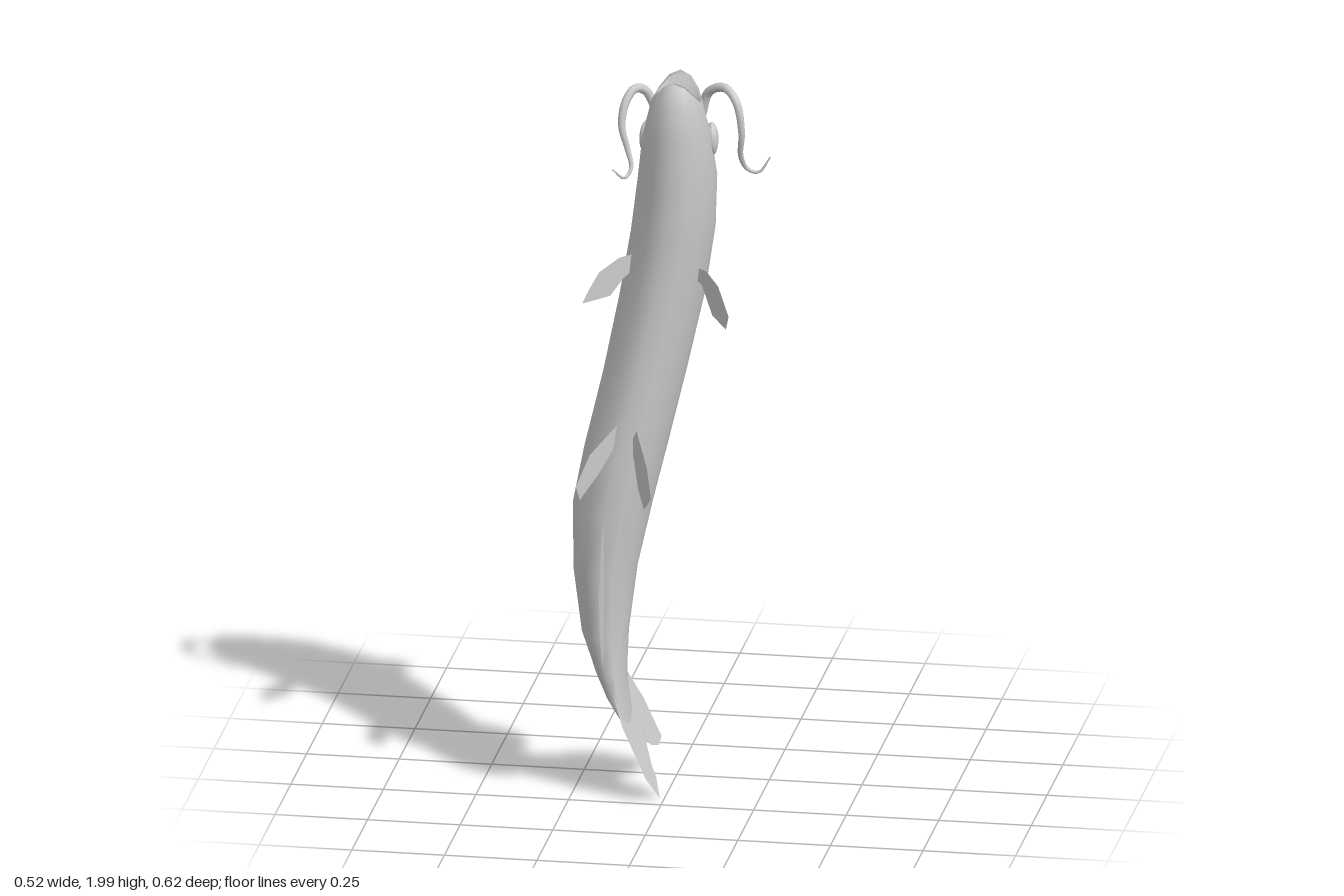
import * as THREE from 'three';

const skin = new THREE.MeshStandardMaterial({ color: 0xcccccc });
const thin = new THREE.MeshStandardMaterial({ color: 0xcccccc, side: THREE.DoubleSide });

function part(name, geometry, material = skin) {
  const mesh = new THREE.Mesh(geometry, material);
  mesh.name = name;
  return mesh;
}

// Lofted body: each ring is [y, xMin, xMax, zMin, zMax, lipRise]
function makeBody() {
  const rings = [
    [1.84, -0.01, 0.04, 0.07, 0.1, 0],
    [1.93, -0.048, 0.078, 0.042, 0.122, 0.06],
    [1.925, -0.055, 0.081, 0.015, 0.14, 0.068],
    [1.885, -0.065, 0.088, -0.018, 0.168, 0.05],
    [1.83, -0.08, 0.1, -0.055, 0.178, 0.01],
    [1.7, -0.097, 0.112, -0.115, 0.181, 0],
    [1.55, -0.117, 0.105, -0.142, 0.181, 0],
    [1.36, -0.15, 0.075, -0.172, 0.187, 0],
    [1.15, -0.19, 0.03, -0.143, 0.207, 0],
    [0.95, -0.235, -0.015, -0.1, 0.229, 0],
    [0.8, -0.262, -0.05, -0.065, 0.241, 0],
    [0.62, -0.257, -0.088, -0.005, 0.238, 0],
    [0.45, -0.23, -0.106, 0.06, 0.232, 0],
    [0.35, -0.195, -0.11, 0.07, 0.23, 0],
    [0.27, -0.16, -0.108, 0.06, 0.225, 0],
    [0.18, -0.101, -0.097, 0.08, 0.2, 0],
  ];
  const sides = 14, pos = [], idx = [];
  rings.forEach(([y, x0, x1, z0, z1, rise], r) => {
    for (let i = 0; i < sides; i++) {
      const a = (i / sides) * Math.PI * 2, s = Math.sin(a), c = Math.cos(a);
      pos.push((x0 + x1) / 2 + s * (x1 - x0) / 2, y + rise * c * c, (z0 + z1) / 2 + c * (z1 - z0) / 2);
      if (r === 0) continue;
      const j = (i + 1) % sides, up = (r - 1) * sides, lo = r * sides;
      idx.push(up + i, lo + i, up + j, up + j, lo + i, lo + j);
    }
  });
  // floor of the mouth
  for (let i = 1; i < sides - 1; i++) idx.push(0, i, i + 1);
  const g = new THREE.BufferGeometry();
  g.setAttribute('position', new THREE.Float32BufferAttribute(pos, 3));
  g.setIndex(idx);
  g.computeVertexNormals();
  return g;
}

// Flat outline placed in space by a rule (u, v) -> [x, y, z]
function fin(name, outline, place) {
  const g = new THREE.ShapeGeometry(new THREE.Shape(outline.map(([u, v]) => new THREE.Vector2(u, v))));
  const p = g.attributes.position;
  for (let i = 0; i < p.count; i++) p.setXYZ(i, ...place(p.getX(i), p.getY(i)));
  g.computeVertexNormals();
  return part(name, g, thin);
}

// Whisker: a tube narrowed towards its tip
function barbel(name, points) {
  const curve = new THREE.CatmullRomCurve3(points.map((p) => new THREE.Vector3(...p)));
  const segments = 32, sides = 8;
  const g = new THREE.TubeGeometry(curve, segments, 0.013, sides);
  const p = g.attributes.position, v = new THREE.Vector3();
  for (let i = 0; i < p.count; i++) {
    const t = Math.floor(i / (sides + 1)) / segments;
    const c = curve.getPointAt(t);
    v.fromBufferAttribute(p, i).sub(c).multiplyScalar(1 - 0.85 * t ** 2).add(c);
    p.setXYZ(i, v.x, v.y, v.z);
  }
  return part(name, g);
}

export function createModel() {
  const fish = new THREE.Group();
  fish.name = 'catfish';
  fish.add(part('body', makeBody()));

  // Eyes
  for (const [name, x, z, tilt] of [['leftEye', 0.096, 0.008, 0.2], ['rightEye', -0.077, 0.018, -0.2]]) {
    const eye = part(name, new THREE.SphereGeometry(1, 16, 12));
    eye.scale.set(0.018, 0.046, 0.036);
    eye.position.set(x, 1.8, z);
    eye.rotation.y = tilt;
    fish.add(eye);
  }

  // Barbels
  fish.add(barbel('leftBarbel', [
    [0.07, 1.87, 0.022], [0.092, 1.94, 0.03], [0.14, 1.962, 0.055], [0.175, 1.93, 0.08], [0.19, 1.85, 0.088],
    [0.185, 1.78, 0.072], [0.2, 1.735, 0.05], [0.23, 1.728, 0.05], [0.26, 1.77, 0.043],
  ]));
  fish.add(barbel('rightBarbel', [
    [-0.05, 1.89, 0.04], [-0.075, 1.94, 0.05], [-0.1, 1.952, 0.07], [-0.122, 1.92, 0.1], [-0.128, 1.86, 0.12],
    [-0.112, 1.8, 0.125], [-0.1, 1.75, 0.135], [-0.115, 1.727, 0.155], [-0.145, 1.755, 0.17],
  ]));

  // Upright fins, outlined in (z, y)
  fish.add(fin('dorsalFin',
    [[-0.13, 1.29], [-0.165, 1.27], [-0.24, 1.18], [-0.305, 1.03], [-0.307, 0.95], [-0.23, 1.05], [-0.135, 1.1], [-0.1, 1.1]],
    (z, y) => [-0.09 + 0.5 * (z + 0.15), y, z]));
  fish.add(fin('rearDorsalFin',
    [[0.02, 0.66], [-0.025, 0.66], [-0.05, 0.55], [-0.058, 0.45], [-0.03, 0.39], [0, 0.385], [0.04, 0.4], [0.1, 0.5]],
    (z, y) => [-0.165, y, z]));
  fish.add(fin('analFin',
    [[0.2, 0.8], [0.243, 0.79], [0.28, 0.72], [0.31, 0.61], [0.305, 0.5], [0.26, 0.38], [0.235, 0.42], [0.2, 0.5]],
    (z, y) => [-0.157, y, z]));

  // Tail fin, bending to the left as it goes down
  fish.add(fin('tailFin',
    [[0.22, 0.35], [0.24, 0.21], [0.243, 0.07], [0.2, 0], [0.145, 0.04], [0.13, 0.09], [0.1, 0.13], [0.06, 0.1],
      [0, 0.08], [-0.06, 0.085], [-0.06, 0.19], [0, 0.27], [0.055, 0.34], [0.11, 0.36]],
    (z, y) => [-0.012 - 0.46 * Math.min(y, 0.2) - 0.3 * Math.max(0, y - 0.2), y, z]));

  // Paired fins, outlined in (x, y)
  fish.add(fin('leftPectoralFin',
    [[0.06, 1.46], [0.1, 1.465], [0.14, 1.44], [0.175, 1.37], [0.166, 1.33], [0.12, 1.35], [0.085, 1.42], [0.06, 1.43]],
    (x, y) => [x, y, 0.12 + 1.15 * (x - 0.1)]));
  fish.add(fin('rightPectoralFin',
    [[-0.09, 1.5], [-0.13, 1.5], [-0.175, 1.475], [-0.2, 1.43], [-0.213, 1.4], [-0.15, 1.4], [-0.12, 1.44], [-0.09, 1.46]],
    (x, y) => [x, y, 0.15 + 1.2 * (-0.13 - x)]));
  fish.add(fin('leftPelvicFin',
    [[-0.09, 1.0], [-0.07, 1.04], [-0.035, 0.95], [-0.022, 0.87], [-0.045, 0.83], [-0.065, 0.88], [-0.08, 0.96]],
    (x, y) => [x, y, 0.215 + 1.15 * (x + 0.08)]));
  fish.add(fin('rightPelvicFin',
    [[-0.11, 1.02], [-0.125, 1.05], [-0.19, 0.98], [-0.222, 0.9], [-0.213, 0.86], [-0.17, 0.92], [-0.13, 0.99]],
    (x, y) => [x, y, 0.215 + 0.9 * (-0.13 - x)]));

  return fish;
}
